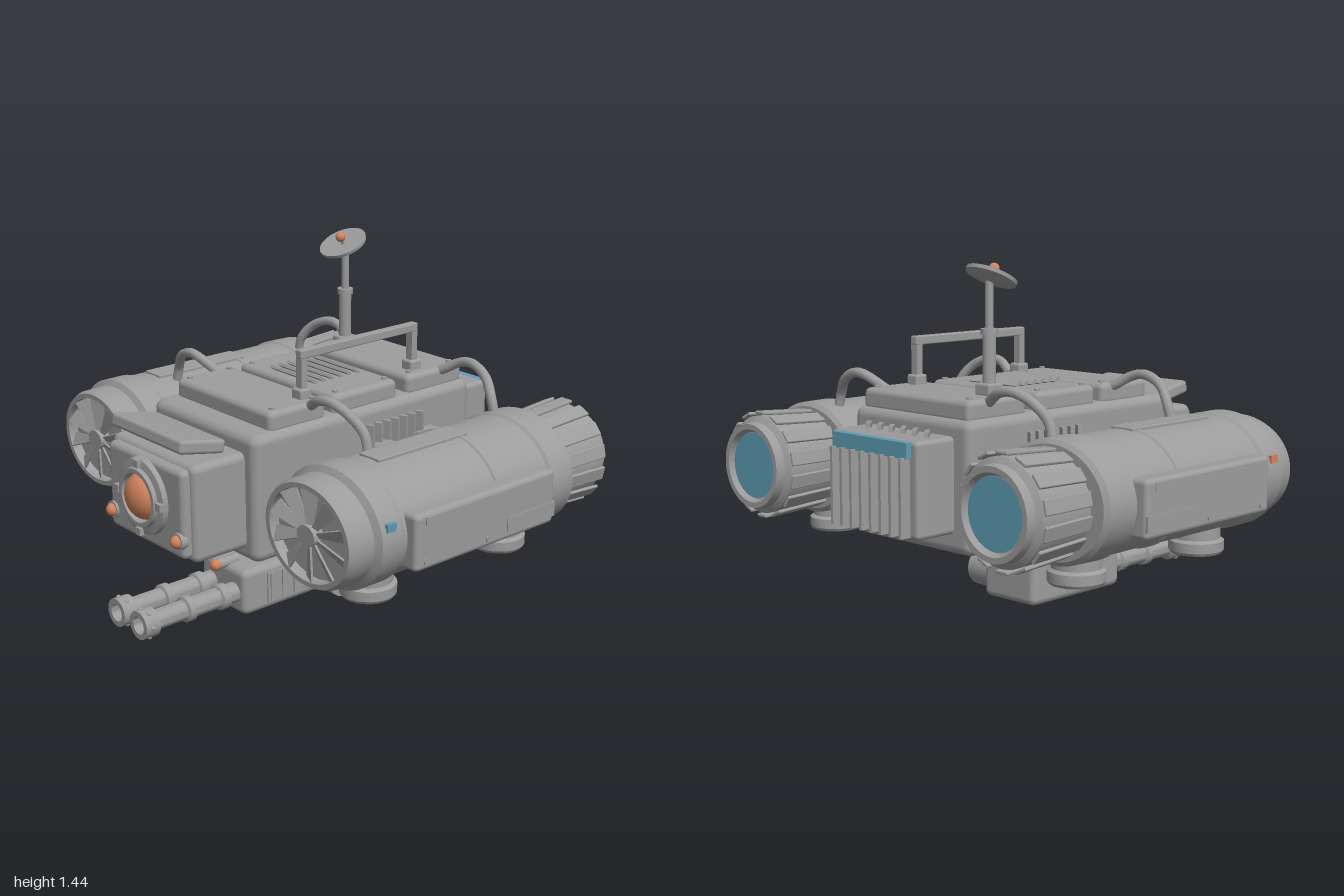
import * as THREE from 'three';
import { toCreasedNormals } from 'three/addons/utils/BufferGeometryUtils.js';
import { RoundedBoxGeometry } from 'three/addons/geometries/RoundedBoxGeometry.js';

const mat = (name, color) => Object.assign(new THREE.MeshStandardMaterial({ color }), { name });
const grey = mat('hull grey', 0x9c9c9c);
const orange = mat('lamp orange', 0xd0835c);
const blue = mat('glow blue', 0x5c9cb4);

function add(parent, name, geo, x = 0, y = 0, z = 0, m = grey) {
  const mesh = new THREE.Mesh(geo, m);
  mesh.name = name;
  mesh.position.set(x, y, z);
  parent.add(mesh);
  return mesh;
}
function group(parent, name, x = 0, y = 0, z = 0) {
  const g = new THREE.Group();
  g.name = name;
  g.position.set(x, y, z);
  parent.add(g);
  return g;
}
const box = (w, h, d) => new THREE.BoxGeometry(w, h, d);
const rbox = (w, h, d, r = 0.02) => new RoundedBoxGeometry(w, h, d, 2, r);
const cyl = (r, h, n = 24, r2 = r) => new THREE.CylinderGeometry(r, r2, h, n);
const cylZ = (r, h, n = 24) => cyl(r, h, n).rotateX(Math.PI / 2);
const cylX = (r, h, n = 24) => cyl(r, h, n).rotateZ(Math.PI / 2);
const ball = (r) => new THREE.SphereGeometry(r, 24, 16);
const lathe = (pts, n = 48) =>
  toCreasedNormals(new THREE.LatheGeometry(pts.map(p => new THREE.Vector2(...p)), n), 0.5);
const latheZ = (pts, n) => lathe(pts, n).rotateX(Math.PI / 2);
const tube = (pts, r) => new THREE.TubeGeometry(
  new THREE.CatmullRomCurve3(pts.map(p => new THREE.Vector3(...p))), 24, r, 10);

function buildBody(g) {
  add(g, 'hull', rbox(0.66, 0.515, 1.15, 0.04), 0, 0.592, -0.055);
  // Roof hatches with corner bolts
  for (const [z, d] of [[-0.45, 0.31], [-0.07, 0.34], [0.28, 0.28]]) {
    add(g, 'roofHatch', rbox(0.6, 0.09, d, 0.025), 0, 0.875, z);
    for (const sx of [-1, 1]) for (const sz of [-1, 1])
      add(g, 'bolt', cyl(0.012, 0.012, 12), sx * 0.26, 0.922, z + sz * (d / 2 - 0.04));
  }
  for (let i = 0; i < 6; i++)
    add(g, 'roofLouvre', box(0.26, 0.012, 0.035), 0, 0.93, -0.17 + i * 0.045).rotation.x = -0.6;
  // Side louvres on the hull
  for (const s of [-1, 1]) for (let i = 0; i < 7; i++)
    add(g, 'sideLouvre', box(0.04, 0.12, 0.016), s * 0.34, 0.72, -0.32 + i * 0.045).rotation.y = s * 0.4;
  // Belly vent bars
  add(g, 'bellyPanel', rbox(0.42, 0.02, 0.32, 0.008), 0, 0.332, -0.34);
  for (let i = 0; i < 5; i++)
    add(g, 'bellyBar', rbox(0.022, 0.03, 0.26, 0.008), -0.14 + i * 0.07, 0.315, -0.32);

  // Rear radiator
  add(g, 'radiatorBlock', rbox(0.49, 0.37, 0.24), 0, 0.6, -0.69);
  add(g, 'radiatorLight', box(0.42, 0.06, 0.03), 0, 0.75, -0.82, blue);
  for (let i = 0; i < 8; i++)
    add(g, 'radiatorFin', box(0.014, 0.3, 0.06), -0.195 + i * 0.0557, 0.575, -0.825);
  for (let i = 0; i < 6; i++)
    add(g, 'radiatorRib', box(0.018, 0.03, 0.075), -0.165 + i * 0.066, 0.79, -0.69).rotation.y = 0.75;
}

function buildNose(g) {
  add(g, 'noseBox', rbox(0.54, 0.39, 0.3, 0.03), 0, 0.582, 0.61);
  add(g, 'nosePlate', rbox(0.49, 0.355, 0.06, 0.025), 0, 0.582, 0.765);
  add(g, 'noseVisor', rbox(0.46, 0.055, 0.21, 0.015), 0, 0.828, 0.68).rotation.x = -0.2;
  const eye = group(g, 'eye', 0, 0.6, 0.79);
  add(eye, 'eyeRing', latheZ([[0.155, 0], [0.15, 0.025], [0.12, 0.03], [0.115, 0.045], [0.098, 0.045], [0.095, 0.01], [0, 0.01]]));
  add(eye, 'eyeLens', ball(0.092).scale(1, 1, 0.7), 0, 0, 0.01, orange);
  for (let i = 0; i < 4; i++) {
    const a = i * Math.PI / 2;
    add(eye, 'eyeClamp', box(0.03, 0.03, 0.05), Math.cos(a) * 0.138, Math.sin(a) * 0.138, 0.02);
  }
  for (const s of [-1, 1]) {
    add(g, 'lampRing', cylZ(0.034, 0.03), s * 0.215, 0.48, 0.79);
    add(g, 'noseLamp', ball(0.026), s * 0.215, 0.48, 0.805, orange);
  }
}

function bladeGeometry() {
  const s = new THREE.Shape();
  s.moveTo(-0.012, 0.035);
  s.lineTo(0.012, 0.035);
  s.lineTo(0.036, 0.205);
  s.lineTo(-0.036, 0.205);
  return new THREE.ExtrudeGeometry(s, { depth: 0.008, bevelEnabled: false }).rotateY(0.45);
}

function buildNacelle(g, s) {
  const n = group(g, s > 0 ? 'leftNacelle' : 'rightNacelle', s * 0.685, 0.59, 0);
  const shell = group(n, 'nacelleShell');
  shell.scale.y = 0.85;
  add(shell, 'nacelleBody', latheZ([[0, -0.575], [0.25, -0.575], [0.27, -0.56], [0.273, -0.44], [0.263, -0.43],
    [0.263, -0.17], [0.27, -0.165], [0.27, -0.15], [0.263, -0.145], [0.263, 0.34], [0.273, 0.35], [0.273, 0.45],
    [0.245, 0.465], [0.242, 0.55], [0.23, 0.572], [0.208, 0.572], [0.205, 0.53], [0, 0.53]], 64));
  // Intake fan
  const blade = bladeGeometry();
  for (let i = 0; i < 10; i++)
    add(shell, 'fanBlade', blade, 0, 0, 0.55).rotation.z = i * Math.PI / 5;
  add(shell, 'fanHub', cylZ(0.048, 0.05), 0, 0, 0.55);
  // Exhaust nozzle
  add(n, 'nozzle', latheZ([[0, -0.85], [0.135, -0.85], [0.148, -0.872], [0.17, -0.872], [0.175, -0.835],
    [0.198, -0.82], [0.19, -0.55]]));
  add(n, 'nozzleGlow', new THREE.CircleGeometry(0.132, 40).rotateY(Math.PI), 0, 0, -0.855, blue);
  const flap = rbox(0.058, 0.014, 0.25, 0.005).rotateX(0.06);
  for (let i = 0; i < 14; i++) {
    const a = i * Math.PI / 7;
    add(n, 'nozzleFlap', flap, -Math.sin(a) * 0.203, Math.cos(a) * 0.203, -0.7).rotation.z = a;
  }
  // Outer armour plate and its details
  add(n, 'sidePlate', rbox(0.09, 0.22, 0.735, 0.02), s * 0.262, -0.01, -0.045);
  add(n, 'plateRail', box(0.012, 0.03, 0.64), s * 0.305, 0.07, -0.045);
  add(n, 'platePanel', box(0.012, 0.06, 0.26), s * 0.305, -0.06, -0.28);
  for (const z of [0.27, -0.05])
    add(n, 'plateBolt', cylX(0.013, 0.012, 12), s * 0.306, -0.085, z);
  add(n, 'sideLamp', box(0.03, 0.03, 0.042), s * 0.256, 0.07, 0.405, s > 0 ? blue : orange);
  add(n, 'topPanel', rbox(0.105, 0.02, 0.46, 0.005), 0, 0.222, 0.04);
  // Lift thrusters underneath
  for (const z of [0.27, -0.435]) {
    const t = group(n, 'liftThruster', 0, -0.315, z);
    add(t, 'thrusterHousing', lathe([[0, 0.025], [0.08, 0.025], [0.085, 0], [0.102, 0], [0.11, 0.012],
      [0.11, 0.05], [0.095, 0.06], [0.095, 0.18]], 32));
    for (let i = 0; i < 4; i++)
      add(t, 'thrusterSpoke', box(0.165, 0.015, 0.014), 0, 0.014, 0).rotation.y = i * Math.PI / 4;
    add(t, 'thrusterHub', cyl(0.022, 0.03, 16), 0, 0.015, 0);
  }
  // Struts joining nacelle and hull
  for (const z of [-0.36, -0.11]) {
    add(g, 'upperStrut', rbox(0.2, 0.12, 0.11), s * 0.39, 0.64, z);
    add(g, 'lowerStrut', cylX(0.037, 0.26), s * 0.41, 0.5, z);
  }
  // Arched hoses
  for (const [z, dz] of [[0.2, 0.04], [-0.48, -0.04]]) {
    add(g, 'hose', tube([[0.24, 0.88, z], [0.3, 0.91, z + dz * 0.4], [0.37, 0.95, z + dz],
      [0.44, 0.96, z + dz], [0.53, 0.925, z + dz * 0.6], [0.585, 0.86, z], [0.605, 0.79, z]]
      .map(([x, y, w]) => [s * x, y, w]), 0.02));
  }
}

function buildRoofGear(g) {
  // Antenna mast and dish
  const m = group(g, 'antenna', -0.21, 0, -0.41);
  add(m, 'mastFoot', rbox(0.08, 0.05, 0.08, 0.01), 0, 0.94, 0);
  add(m, 'mastLower', cyl(0.026, 0.24), 0, 1.05, 0);
  add(m, 'mastCollar', cyl(0.033, 0.022), 0, 1.16, 0);
  add(m, 'mastUpper', cyl(0.016, 0.22), 0, 1.26, 0);
  const d = group(m, 'dish', 0, 1.362, 0.01);
  d.rotation.x = 0.46;
  add(d, 'dishPlate', lathe([[0, -0.022], [0.04, -0.018], [0.1, -0.002], [0.102, 0.012], [0.09, 0.012], [0, 0.004]]));
  add(d, 'dishStem', cyl(0.008, 0.04, 12), 0, 0.015, 0);
  add(d, 'dishTip', ball(0.021), 0, 0.038, 0, orange);
  // Carry handle
  for (const z of [0.2, -0.385]) {
    add(g, 'handleFoot', rbox(0.06, 0.05, 0.06, 0.01), 0.225, 0.935, z);
    add(g, 'handlePost', box(0.034, 0.17, 0.03), 0.225, 1.02, z);
  }
  add(g, 'handleBar', rbox(0.036, 0.036, 0.62, 0.006), 0.225, 1.095, -0.0925);
}

function buildTurret(g) {
  add(g, 'turntable', lathe([[0, 0.21], [0.16, 0.21], [0.16, 0.245], [0.2, 0.25], [0.205, 0.285], [0.185, 0.295], [0.18, 0.35]]), 0, 0, 0.075);
  const t = group(g, 'turret', -0.015, 0.113, 0);
  add(t, 'gunBody', rbox(0.29, 0.195, 0.535, 0.03), 0, 0, 0.158);
  add(t, 'ammoDrum', cylX(0.082, 0.13, 32), 0.2, -0.005, 0);
  add(t, 'drumCap', cylX(0.06, 0.014, 32), 0.267, -0.005, 0);
  for (const s of [-1, 1]) {
    add(t, 'gunSidePanel', box(0.008, 0.13, 0.22), s * 0.147, 0, 0.2);
    for (let i = 0; i < 4; i++)
      add(t, 'gunSideRib', box(0.012, 0.12, 0.014), s * 0.15, 0, 0.11 + i * 0.06);
    // Twin barrels with bands and hollow muzzles
    const b = group(t, 'barrel', s * 0.075, -0.008, 0);
    add(b, 'barrelTube', latheZ([[0.042, 0.4], [0.042, 0.47], [0.052, 0.475], [0.052, 0.51], [0.042, 0.515],
      [0.042, 0.64], [0.052, 0.645], [0.052, 0.675], [0.04, 0.68], [0.04, 0.815], [0.058, 0.825],
      [0.058, 0.89], [0.036, 0.89], [0.034, 0.85], [0, 0.85]], 28));
    for (let i = 0; i < 6; i++) {
      const a = i * Math.PI / 3;
      add(b, 'muzzleStud', ball(0.009), Math.cos(a) * 0.056, Math.sin(a) * 0.056, 0.86);
    }
  }
  add(t, 'sightHousing', cylZ(0.022, 0.1), 0.01, 0.1, 0.41);
  add(t, 'sightLamp', ball(0.024), 0.01, 0.1, 0.465, orange);
  add(t, 'feedHose', tube([[0.1, 0.15, 0.18], [0.16, 0.11, 0.14], [0.19, 0.08, 0.08], [0.19, 0.04, 0.04]], 0.014));
}

export function createModel() {
  const model = new THREE.Group();
  model.name = 'hoverDrone';
  // The whole craft banks and pitches slightly about its centre
  const tilt = group(model, 'tiltedCraft', 0, 0.58, 0);
  tilt.rotation.set(0.033, 0, -0.029);
  const craft = group(tilt, 'craft', 0, -0.58, 0);
  buildBody(craft);
  buildNose(craft);
  for (const s of [-1, 1]) buildNacelle(craft, s);
  buildRoofGear(craft);
  buildTurret(craft);
  return model;
}
